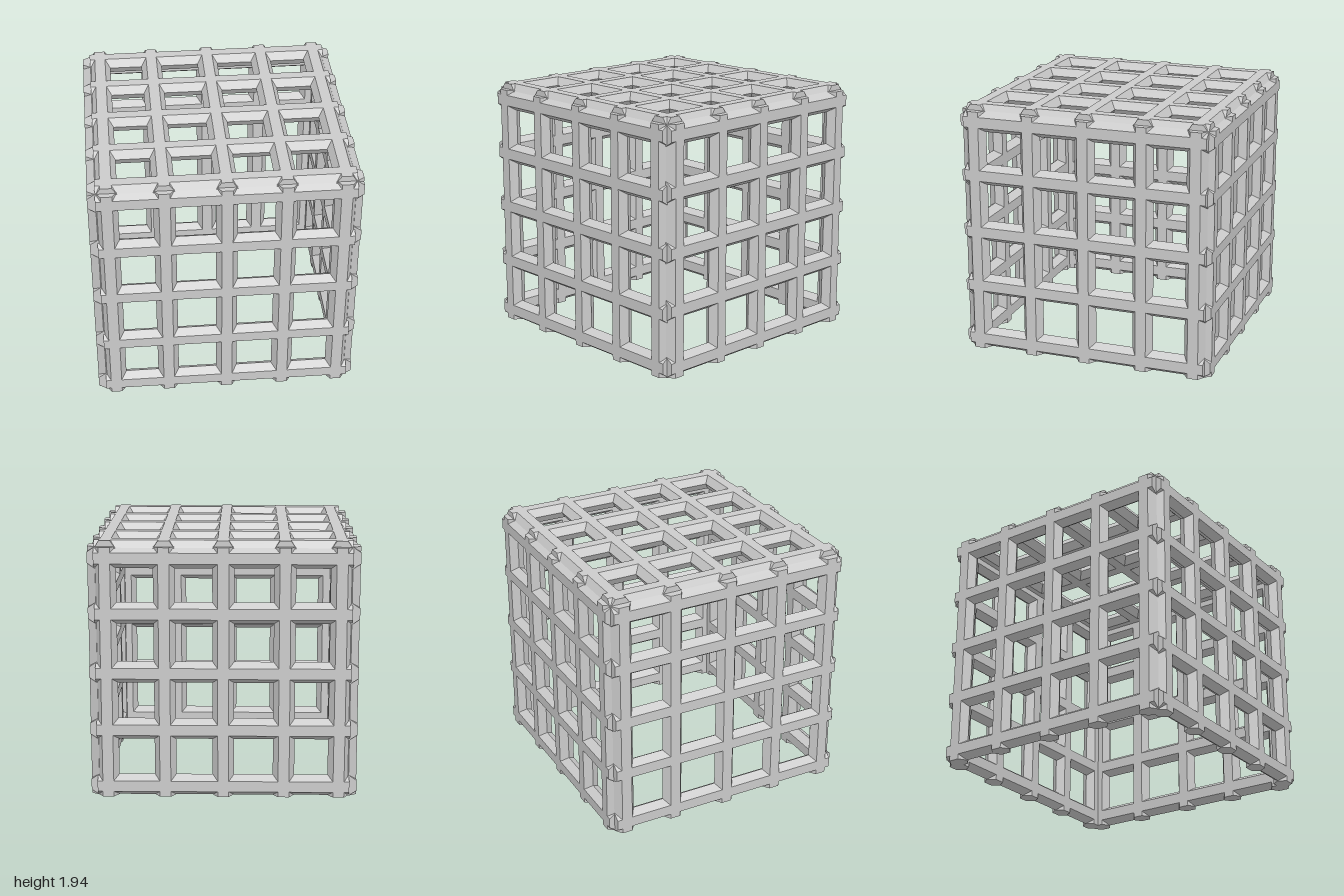
import * as THREE from 'three';

const EDGE = 0.041, MIDDLE = 0.081, DEPTH = 0.12;
const material = new THREE.MeshStandardMaterial({ color: 0xcccccc, flatShading: true });

// Six-sided bar along y: narrow faces at z = 0 (outside) and z = -DEPTH (inside), widest halfway
function barGeometry(length) {
  const section = new THREE.Shape([
    new THREE.Vector2(-EDGE, -DEPTH), new THREE.Vector2(EDGE, -DEPTH),
    new THREE.Vector2(MIDDLE, -DEPTH / 2), new THREE.Vector2(EDGE, 0),
    new THREE.Vector2(-EDGE, 0), new THREE.Vector2(-MIDDLE, -DEPTH / 2),
  ]);
  return new THREE.ExtrudeGeometry(section, { depth: length, bevelEnabled: false })
    .translate(0, 0, -length / 2)
    .rotateX(Math.PI / 2);
}

// Flat lattice facing +z; bars run on to the far side of the outermost crossing bars
function latticePanel(name, us, vs) {
  const panel = new THREE.Group();
  panel.name = name;
  const u0 = us[0] - MIDDLE, u1 = us[us.length - 1] + MIDDLE;
  const v0 = vs[0] - MIDDLE, v1 = vs[vs.length - 1] + MIDDLE;
  const add = (label, geometry, x, y) => {
    const bar = new THREE.Mesh(geometry, material);
    bar.name = label;
    bar.position.set(x, y, 0);
    panel.add(bar);
  };
  const upright = barGeometry(v1 - v0);
  const crossbar = barGeometry(u1 - u0).rotateZ(Math.PI / 2);
  us.forEach((u) => add('upright', upright, u, (v0 + v1) / 2));
  vs.forEach((v) => add('crossbar', crossbar, (u0 + u1) / 2, v));
  return panel;
}

export function createModel() {
  const model = new THREE.Group();
  model.name = 'latticeCage';

  // Bar centres along each axis
  const xs = [-0.862, -0.449, 0.004, 0.439, 0.869];
  const zs = [-0.867, -0.457, -0.003, 0.43, 0.867];
  const frontYs = [0.082, 0.5, 0.956, 1.389, 1.82];
  const wallYs = [0.082, 0.521, 0.957, 1.406, 1.82];
  const flip = (list) => list.map((n) => -n).reverse();

  const front = latticePanel('frontWall', xs, frontYs);
  front.position.z = 0.99;

  const back = latticePanel('backWall', flip(xs), wallYs);
  back.rotation.y = Math.PI;
  back.position.z = -0.99;

  const left = latticePanel('leftWall', flip(zs), wallYs);
  left.rotation.y = Math.PI / 2;
  left.position.x = 1;

  const right = latticePanel('rightWall', zs, wallYs);
  right.rotation.y = -Math.PI / 2;
  right.position.x = -1;

  // Roof; the underside of the cage stays open
  const roof = latticePanel('roof', xs, flip(zs));
  roof.rotation.x = -Math.PI / 2;
  roof.position.y = 1.945;

  model.add(front, back, left, right, roof);
  return model;
}
